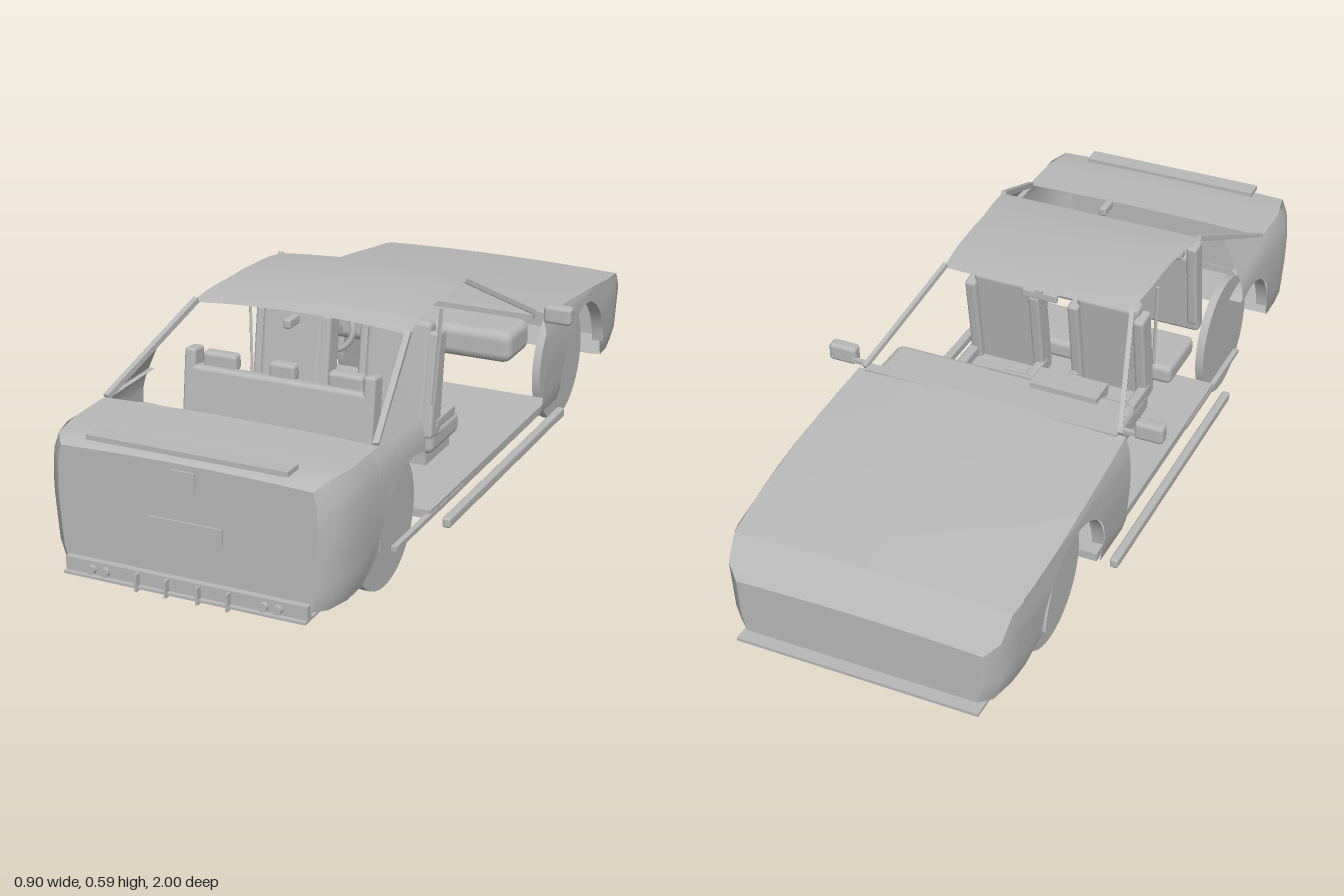
import * as THREE from 'three';
import { RoundedBoxGeometry } from 'three/addons/geometries/RoundedBoxGeometry.js';

const grey = new THREE.MeshStandardMaterial({ color: 0xb8b8b8, side: THREE.DoubleSide });
grey.name = 'body grey';

const ARCH = 0.172, HUB = 0.165, REAR = 0.58, NOSE = -0.59;

// Piecewise linear lookup through [key, value] pairs
function lerpTable(table, k) {
  if (k <= table[0][0]) return table[0][1];
  for (let i = 1; i < table.length; i++) {
    const [a, va] = table[i - 1], [b, vb] = table[i];
    if (k <= b) return va + (vb - va) * (k - a) / (b - a);
  }
  return table[table.length - 1][1];
}
const widthAt = z => lerpTable([[-0.975, 0.315], [-0.95, 0.345], [-0.88, 0.36], [-0.6, 0.374], [-0.28, 0.376],
  [0.51, 0.376], [0.88, 0.372], [0.94, 0.355], [0.968, 0.325]], z);
const bulge = y => lerpTable([[0.11, 0.94], [0.15, 0.975], [0.28, 1], [0.36, 0.99], [0.39, 0.97], [0.42, 0.93]], y);
const topAt = z => lerpTable([[-0.975, 0.25], [-0.905, 0.33], [-0.6, 0.373], [-0.28, 0.4],
  [0.51, 0.415], [0.94, 0.412], [0.968, 0.395]], z);
const sideX = (z, y) => widthAt(z) * bulge(y);

// Lower edge of the flank, following the wheel arch
function bottomAt(z) {
  const c = z > 0 ? REAR : NOSE, d = Math.abs(z - c);
  if (d < ARCH) return HUB + Math.sqrt(ARCH * ARCH - d * d);
  return Math.abs(z) > Math.abs(c) ? lerpTable([[0.172, 0.16], [0.23, 0.11]], d) : 0.12;
}

// Grid surface from a rule (u, v) -> [x, y, z]
function surface(fn, us, vs) {
  const pos = [], index = [], n = vs.length;
  us.forEach(u => vs.forEach(v => pos.push(...fn(u, v))));
  for (let i = 0; i < us.length - 1; i++) for (let j = 0; j < n - 1; j++) {
    const a = i * n + j;
    index.push(a, a + n, a + 1, a + 1, a + n, a + n + 1);
  }
  const g = new THREE.BufferGeometry();
  g.setAttribute('position', new THREE.Float32BufferAttribute(pos, 3));
  g.setIndex(index);
  g.computeVertexNormals();
  return g;
}
const steps = (a, b, n) => Array.from({ length: n + 1 }, (_, i) => a + (b - a) * i / n);

export function createModel() {
  const car = new THREE.Group();
  car.name = 'car';
  const add = (name, geo, x = 0, y = 0, z = 0, rx = 0) => {
    const m = new THREE.Mesh(geo, grey);
    m.name = name;
    m.position.set(x, y, z);
    m.rotation.x = rx;
    car.add(m);
    return m;
  };
  const box = (name, w, h, d, x, y, z, rx) => add(name, new THREE.BoxGeometry(w, h, d), x, y, z, rx);
  const soft = (name, w, h, d, x, y, z, rx) =>
    add(name, new RoundedBoxGeometry(w, h, d, 2, Math.min(w, h, d) * 0.3), x, y, z, rx);
  // Square bar between two points
  const bar = (name, a, b, t) => {
    const p = new THREE.Vector3(...a), q = new THREE.Vector3(...b);
    const m = add(name, new THREE.BoxGeometry(t, t, p.distanceTo(q)));
    m.position.copy(p).lerp(q, 0.5);
    m.lookAt(q);
  };

  // Flanks, wheel arches and wheels
  const archZ = c => [-1, -0.999, ...steps(-0.98, 0.98, 20), 0.999, 1.001].map(k => c + k * ARCH);
  const zNose = [-0.975, -0.95, -0.905, -0.88, -0.82, ...archZ(NOSE), -0.4, -0.28];
  const zTail = [0.51, ...archZ(REAR).filter(z => z > 0.512), 0.81, 0.88, 0.94, 0.968];
  const rows = steps(0, 1, 8);
  for (const s of [-1, 1]) {
    for (const [name, zs] of [['noseFlank', zNose], ['tailFlank', zTail]]) {
      add(name, surface((z, t) => {
        const y = bottomAt(z) + (topAt(z) - bottomAt(z)) * t;
        return [s * sideX(z, y), y, z];
      }, zs, rows));
    }
    for (const c of [REAR, NOSE]) {
      const from = c > 0 ? 1.97 : 3.1;
      add('archLip', surface((a, x) => [s * x, HUB + ARCH * Math.sin(a), c - ARCH * Math.cos(a) * -1],
        steps(0.05, from, 20), [0.335, 0.368]));
      const wheel = add('wheel', new THREE.CylinderGeometry(HUB, HUB, 0.022, 40), s * 0.293, HUB, c);
      wheel.rotation.z = Math.PI / 2;
    }
  }

  // Hood, sloped nose and boot lid
  const across = steps(-1, 1, 10);
  const deck = crown => (z, k) => [k * sideX(z, topAt(z)), topAt(z) + crown * (1 - k * k), z];
  add('hood', surface(deck(0.008), [-0.905, -0.8, -0.6, -0.4, -0.28], across));
  add('noseSlope', surface(deck(0.008), [-0.975, -0.95, -0.905], across));
  add('bootLid', surface(deck(0.006), [0.72, 0.85, 0.94, 0.968], across));
  // Front and rear faces with their undersides
  const face = z => surface((t, k) => {
    const y = 0.11 + (topAt(z) - 0.11) * t;
    return [k * sideX(z, y), y + t * 0.007 * (1 - k * k), z];
  }, rows, across);
  add('noseFace', face(-0.975));
  add('tailFace', face(0.968));
  const under = (z, k) => [k * sideX(z, 0.11), 0.11, z];
  add('noseUnderside', surface(under, [-0.975, -0.95, -0.88, -0.82], [-1, 1]));
  add('tailUnderside', surface(under, [0.81, 0.88, 0.94, 0.968], [-1, 1]));

  // Roof
  const roofY = z => lerpTable([[0, 0.57], [0.06, 0.578], [0.2, 0.582], [0.33, 0.578], [0.4, 0.566]], z);
  const roofW = z => lerpTable([[0, 0.255], [0.1, 0.262], [0.25, 0.266], [0.4, 0.282]], z);
  for (const drop of [0, 0.008]) {
    add(drop ? 'headliner' : 'roof', surface((z, k) =>
      [k * roofW(z), roofY(z) + 0.008 * (1 - k * k) - drop, z - 0.015 * (1 - k * k)],
    steps(0, 0.4, 8), across));
  }

  for (const s of [-1, 1]) {
    // Windscreen pillars and rear pillars
    bar('windscreenPillar', [s * 0.255, 0.57, 0.005], [s * 0.345, 0.405, -0.28], 0.012);
    bar('rearPillarRail', [s * 0.28, 0.565, 0.4], [s * 0.345, 0.415, 0.72], 0.014);
    const pillar = [[0.31, 0.505, 0.52], [0.355, 0.413, 0.51], [0.352, 0.413, 0.72]];
    add('rearPillarPanel', surface((u, v) => {
      const [a, b, c] = pillar;
      return a.map((q, i) => (q + ((b[i] + (c[i] - b[i]) * v) - q) * u) * (i ? 1 : s));
    }, [0.01, 1], [0, 1]));
    add('rearDeckRail', surface((z, k) => [s * k * sideX(z, topAt(z)), topAt(z), z], [0.51, 0.6, 0.72], [0.96, 1]));
    // Side skirts, sill rails and door mirrors
    soft('sideSkirt', 0.022, 0.026, 0.79, s * 0.38, 0.098, 0.005);
    box('sillRail', 0.014, 0.012, 0.4, s * 0.335, 0.108, 0.4);
    soft('doorMirror', 0.075, 0.048, 0.034, s * 0.413, 0.419, -0.257);
    box('mirrorArm', 0.04, 0.01, 0.012, s * 0.36, 0.41, -0.27);
  }

  // Tail details
  box('rearSpoiler', 0.5, 0.012, 0.05, 0, 0.421, 0.935);
  box('rearPlate', 0.187, 0.038, 0.005, 0, 0.247, 0.97);
  box('bootBadgePanel', 0.058, 0.038, 0.005, 0, 0.368, 0.97);
  box('rearBumper', 0.61, 0.035, 0.018, 0, 0.113, 0.975);
  box('diffuserPlate', 0.61, 0.006, 0.1, 0, 0.095, 0.945);
  for (const x of [-0.115, -0.04, 0.04, 0.115]) box('diffuserFin', 0.006, 0.042, 0.03, x, 0.107, 0.985);
  for (const x of [-0.235, -0.2, 0.2, 0.235]) {
    add('exhaustPipe', new THREE.CylinderGeometry(0.011, 0.011, 0.04, 16), x, 0.112, 0.975, Math.PI / 2);
  }
  box('frontSplitter', 0.62, 0.008, 0.14, 0, 0.097, -0.93);

  // Floor and dashboard
  box('floor', 0.68, 0.022, 0.8, 0, 0.112, 0);
  soft('tunnel', 0.09, 0.09, 0.3, 0, 0.165, 0.02);
  soft('dashboard', 0.66, 0.085, 0.15, 0, 0.352, -0.2);
  box('dashTop', 0.68, 0.012, 0.03, 0, 0.4, -0.275);
  soft('centreConsole', 0.1, 0.23, 0.055, 0, 0.275, -0.14);
  box('instrumentHood', 0.18, 0.03, 0.075, -0.15, 0.394, -0.14);
  add('steeringWheel', new THREE.TorusGeometry(0.055, 0.008, 8, 28), -0.15, 0.35, -0.09, -0.25);
  bar('steeringColumn', [-0.15, 0.35, -0.09], [-0.15, 0.33, -0.15], 0.02);
  box('columnStalk', 0.13, 0.006, 0.008, 0, 0.405, -0.155);

  // Front seats with belts and visors
  for (const s of [-1, 1]) {
    const x = s * 0.145;
    soft('seatCushion', 0.2, 0.06, 0.18, x, 0.19, 0.085);
    box('seatBase', 0.16, 0.035, 0.15, x, 0.145, 0.09);
    soft('seatBack', 0.17, 0.3, 0.05, x, 0.35, 0.152, -0.15);
    for (const k of [-1, 1]) {
      soft('seatBolster', 0.03, 0.27, 0.06, x + k * 0.09, 0.34, 0.143, -0.15);
      soft('cushionBolster', 0.025, 0.03, 0.12, x + k * 0.095, 0.238, 0.1);
      box('headrestPost', 0.01, 0.05, 0.01, x + k * 0.02, 0.505, 0.13);
    }
    soft('headrest', 0.1, 0.045, 0.04, x, 0.526, 0.125);
    bar('seatBelt', [s * 0.262, 0.545, 0.16], [s * 0.25, 0.3, 0.18], 0.007);
    box('sunVisor', 0.14, 0.005, 0.05, s * 0.137, 0.563, 0.04);
  }
  soft('interiorMirror', 0.095, 0.022, 0.012, 0, 0.534, 0.02);
  box('mirrorStem', 0.02, 0.03, 0.012, 0, 0.56, 0.015);
  soft('roofFin', 0.02, 0.024, 0.055, 0, 0.565, 0.445);

  // Rear bench
  soft('rearCushion', 0.5, 0.055, 0.18, 0, 0.172, 0.4);
  soft('rearBack', 0.5, 0.25, 0.04, 0, 0.32, 0.52, -0.13);
  soft('rearArmrest', 0.09, 0.05, 0.08, 0, 0.225, 0.425);
  for (const [x, w] of [[-0.165, 0.09], [0, 0.068], [0.165, 0.09]]) soft('rearHeadrest', w, 0.042, 0.034, x, 0.456, 0.487);
  for (const s of [-1, 1]) soft('rearSideBolster', 0.03, 0.26, 0.05, s * 0.235, 0.355, 0.51, -0.13);

  return car;
}
